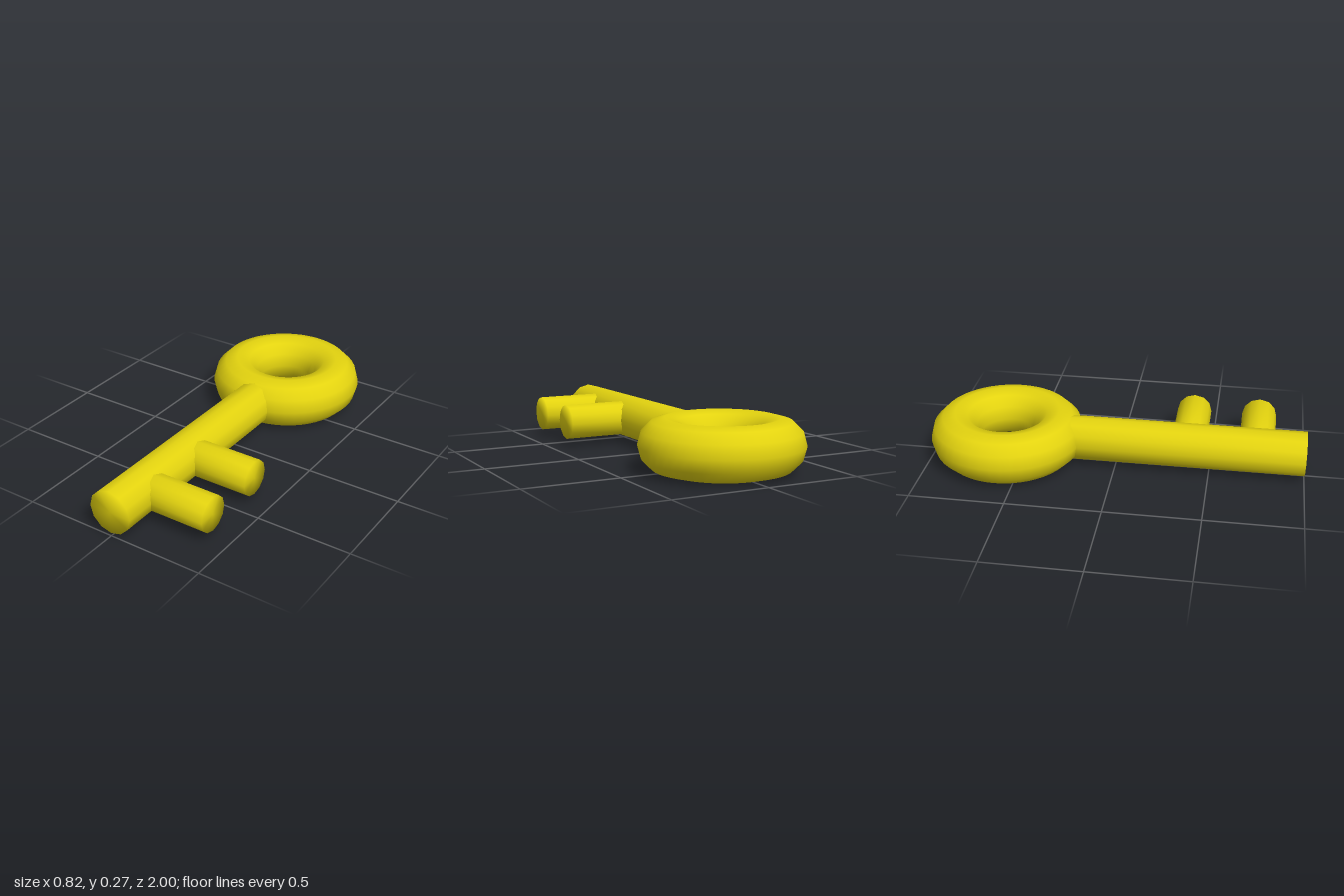
import * as THREE from 'three';
import { mergeVertices } from 'three/addons/utils/BufferGeometryUtils.js';

const MID = 0.135; // height of the key's centre plane
const material = new THREE.MeshStandardMaterial({ color: 0xe3d30f });

// Closed 12-sided rod whose normals run smoothly over the end rims
function rodGeometry(radius, length) {
  const geo = new THREE.CylinderGeometry(radius, radius, length, 12);
  geo.deleteAttribute('uv');
  geo.deleteAttribute('normal');
  const merged = mergeVertices(geo, 1e-4);
  merged.computeVertexNormals();
  return merged;
}

function addPart(group, name, geometry, x, z) {
  const mesh = new THREE.Mesh(geometry, material);
  mesh.name = name;
  mesh.position.set(x, MID, z);
  group.add(mesh);
}

export function createModel() {
  const key = new THREE.Group();
  key.name = 'key';

  // Ring handle lying flat
  const ring = new THREE.TorusGeometry(0.278, 0.133, 12, 48).rotateX(Math.PI / 2);
  addPart(key, 'ringHandle', ring, 0, -0.59);

  // Shaft, its back end buried in the ring
  const back = -0.31, front = 1;
  const shaft = rodGeometry(0.117, front - back).rotateX(Math.PI / 2);
  addPart(key, 'shaft', shaft, 0, (front + back) / 2);

  // Two teeth on the left side, starting inside the shaft
  const tip = 0.405;
  const tooth = rodGeometry(0.094, tip).rotateZ(-Math.PI / 2);
  [0.385, 0.745].forEach((z, i) => addPart(key, `tooth${i + 1}`, tooth, tip / 2, z));

  return key;
}
